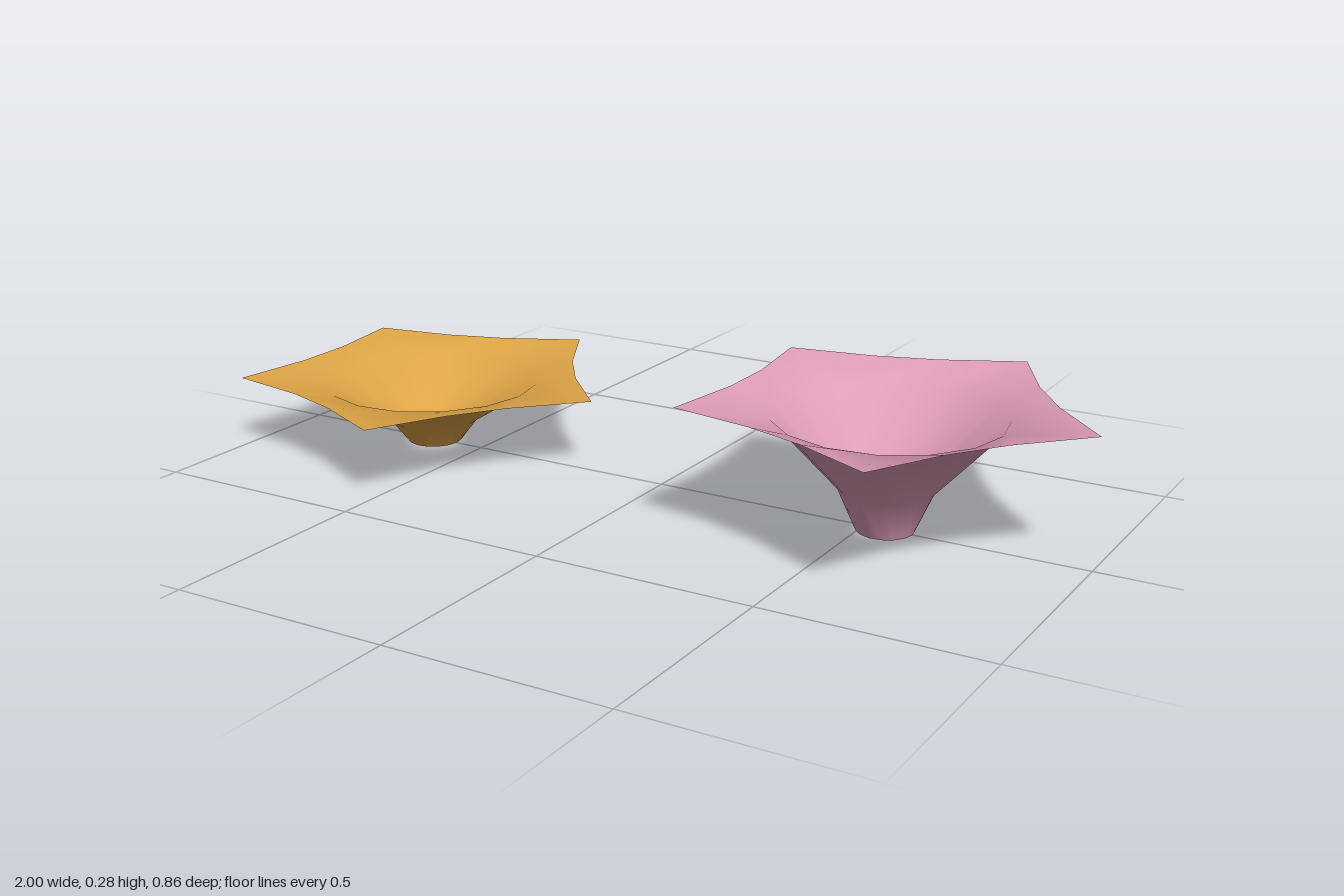
import * as THREE from 'three';
import { mergeVertices } from 'three/addons/utils/BufferGeometryUtils.js';

const SIDES = 15;       // three segments per petal, five petals
const TIP = 0.45, NOTCH = 0.345;

// Open funnel whose rim is drawn out into five pointed petals
function corollaGeometry(height) {
  const profile = [[0.063, 0], [0.105, 0.335], [0.25, 0.887], [NOTCH, 1]]
    .map(([r, h]) => new THREE.Vector2(r, h * height));
  const lathe = new THREE.LatheGeometry(profile, SIDES, Math.PI / 2);
  const pos = lathe.attributes.position;
  const n = profile.length;
  for (let i = 0; i <= SIDES; i += 3) {
    const k = i * n + n - 1;
    pos.setX(k, pos.getX(k) * TIP / NOTCH);
    pos.setZ(k, pos.getZ(k) * TIP / NOTCH);
  }
  // Weld the seam so the shading runs smoothly all round
  lathe.deleteAttribute('uv');
  lathe.deleteAttribute('normal');
  const geometry = mergeVertices(lathe, 1e-5);
  geometry.computeVertexNormals();
  return geometry;
}

export function createModel() {
  const group = new THREE.Group();
  group.name = 'flowerCorollas';

  const gold = new THREE.MeshStandardMaterial({ color: 0xdea546, side: THREE.DoubleSide });
  gold.name = 'golden petal';
  const pink = new THREE.MeshStandardMaterial({ color: 0xde9cb8, side: THREE.DoubleSide });
  pink.name = 'pink petal';

  // Shallow golden flower on the right, deeper pink flower on the left
  for (const [name, x, height, material] of [
    ['shallowCorolla', -0.636, 0.165, gold],
    ['deepCorolla', 0.549, 0.283, pink],
  ]) {
    const flower = new THREE.Mesh(corollaGeometry(height), material);
    flower.name = name;
    flower.position.x = x;
    group.add(flower);
  }
  return group;
}
